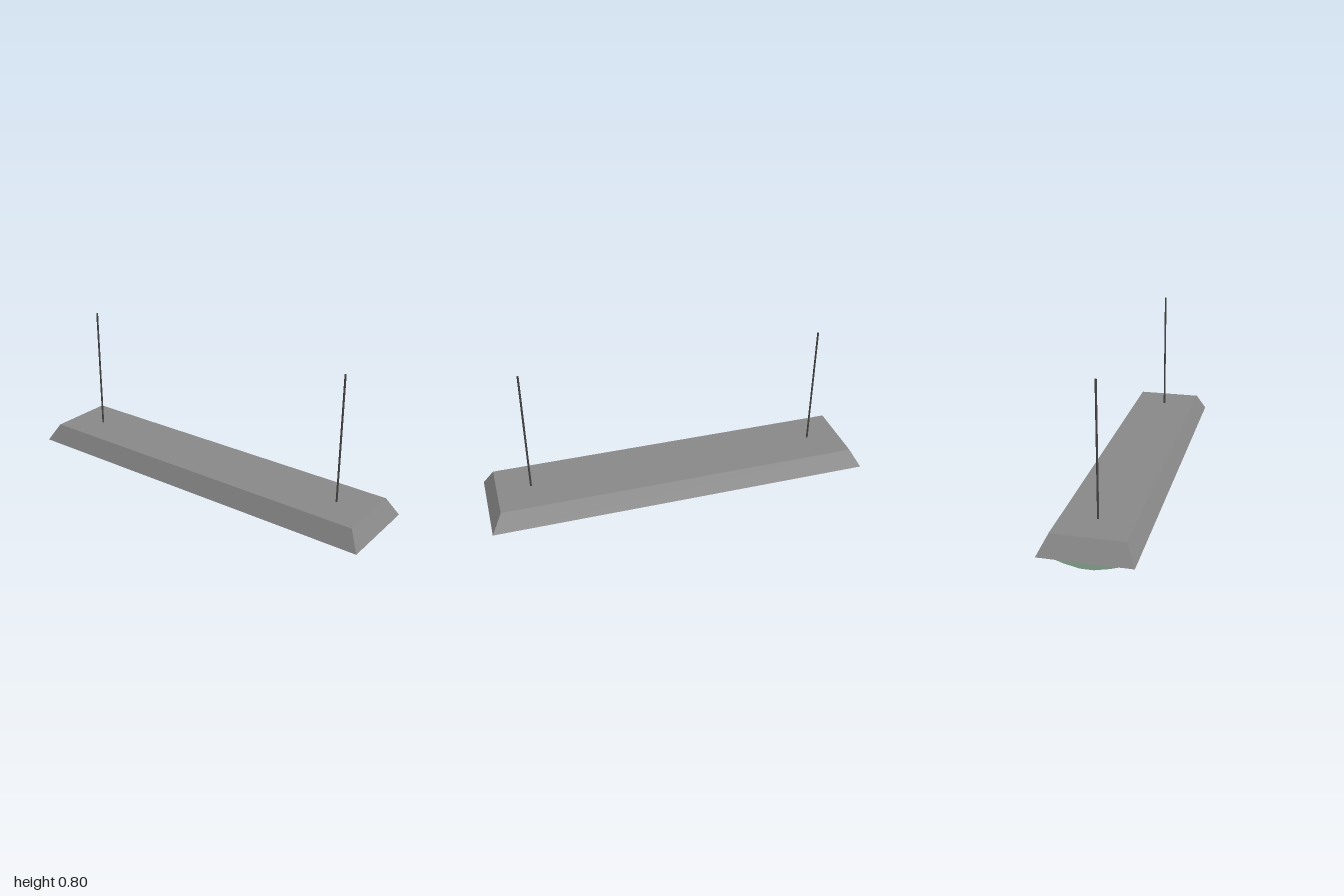
import * as THREE from 'three';
import { toCreasedNormals } from 'three/addons/utils/BufferGeometryUtils.js';

export function createModel() {
  const group = new THREE.Group();
  const metal = new THREE.MeshStandardMaterial({ color: 0x878787 });
  const darkMetal = new THREE.MeshStandardMaterial({ color: 0x464646 });
  const glass = new THREE.MeshStandardMaterial({ color: 0x8eac98 });
  const add = (name, geometry, material) => {
    const mesh = new THREE.Mesh(geometry, material);
    mesh.name = name;
    group.add(mesh);
    return mesh;
  };

  // Housing: a box whose top is drawn in on all four sides
  const bottom = 0.051, top = 0.145;
  const box = new THREE.BoxGeometry(2, top - bottom, 0.442);
  const p = box.attributes.position;
  for (let i = 0; i < p.count; i++) {
    if (p.getY(i) > 0) {
      p.setX(i, Math.sign(p.getX(i)) * 0.945);
      p.setZ(i, Math.sign(p.getZ(i)) * 0.174);
    }
  }
  box.translate(0, (top + bottom) / 2, 0);
  const housing = box.toNonIndexed();
  housing.computeVertexNormals();
  add('housing', housing, metal);

  // Diffuser: shallow curved trough run along the length
  const half = [[0.195, 0.051], [0.15, 0.031], [0.105, 0.016], [0.032, 0]];
  const profile = [...half, ...half.map(([z, y]) => [-z, y]).reverse()];
  const shape = new THREE.Shape(profile.map(([z, y]) => new THREE.Vector2(z, y)));
  const length = 1.928;
  const trough = new THREE.ExtrudeGeometry(shape, { depth: length, bevelEnabled: false });
  trough.translate(0, 0, -length / 2).rotateY(Math.PI / 2);
  add('diffuser', toCreasedNormals(trough, 0.4), glass);

  // Suspension rods
  const rodTop = 0.802;
  for (const [side, name] of [[1, 'leftRod'], [-1, 'rightRod']]) {
    const rod = new THREE.CylinderGeometry(0.005, 0.005, rodTop - top, 8);
    add(name, rod, darkMetal).position.set(side * 0.77, (rodTop + top) / 2, 0);
  }
  return group;
}
